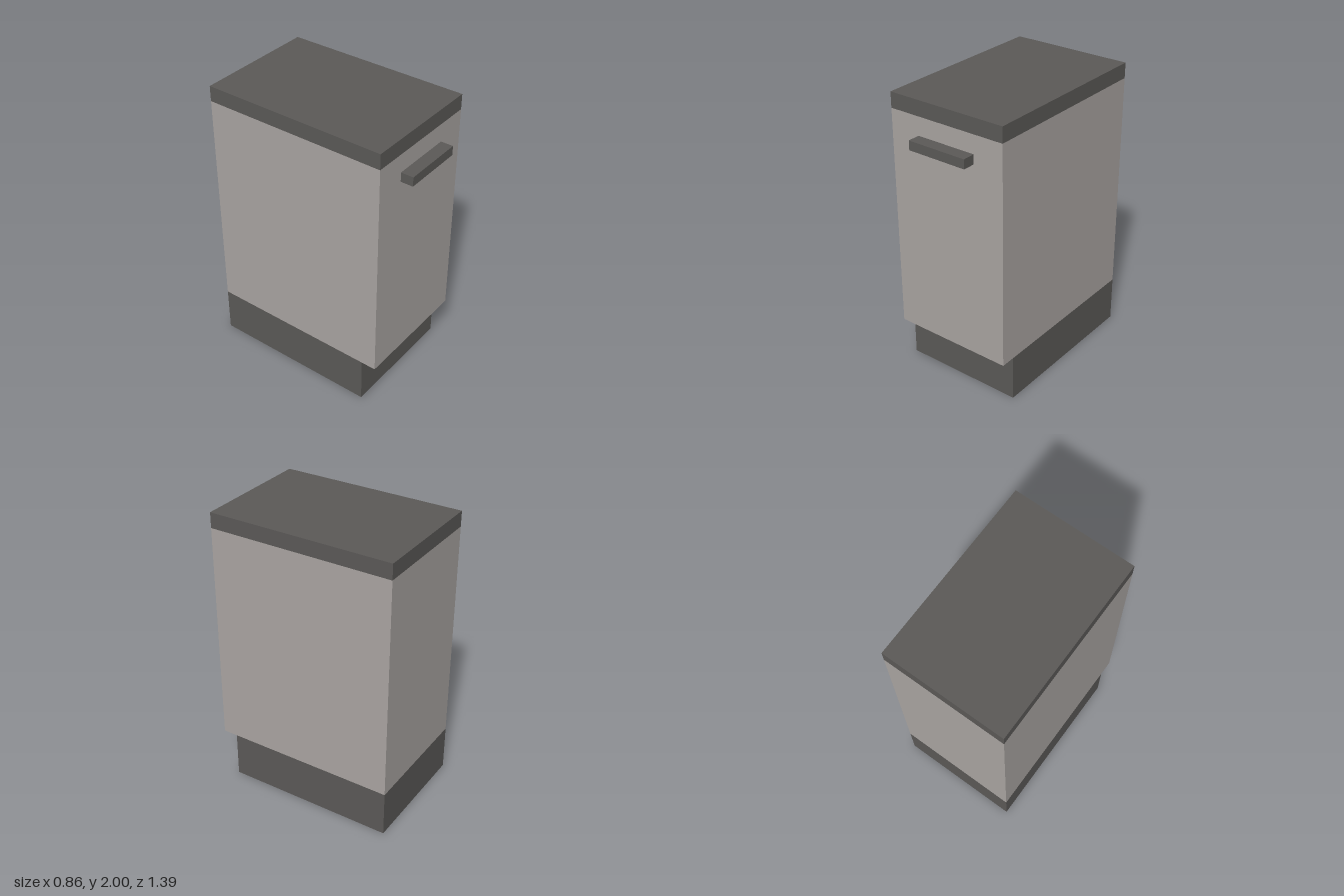
import * as THREE from 'three';

export function createModel() {
  const group = new THREE.Group();
  const dark = new THREE.MeshStandardMaterial({ name: 'dark grey', color: 0x5c5a58 });
  const light = new THREE.MeshStandardMaterial({ name: 'warm light grey', color: 0xaba6a3 });

  const halfWidth = 0.432, back = -0.695, front = 0.608;

  // box spanning +-hx, y0..y1 and z0..z1
  function box(name, material, hx, y0, y1, z0, z1) {
    const mesh = new THREE.Mesh(new THREE.BoxGeometry(hx * 2, y1 - y0, z1 - z0), material);
    mesh.position.set(0, (y0 + y1) / 2, (z0 + z1) / 2);
    mesh.name = name;
    group.add(mesh);
  }

  // recessed plinth, cabinet and worktop stacked flush at the back
  box('plinth', dark, halfWidth, 0, 0.327, back, 0.503);
  box('cabinet', light, halfWidth, 0.327, 1.893, back, front);
  box('worktop', dark, halfWidth, 1.893, 2, back, front);

  // bar handle on the front
  box('handle', dark, 0.216, 1.7, 1.765, front, 0.695);

  return group;
}
